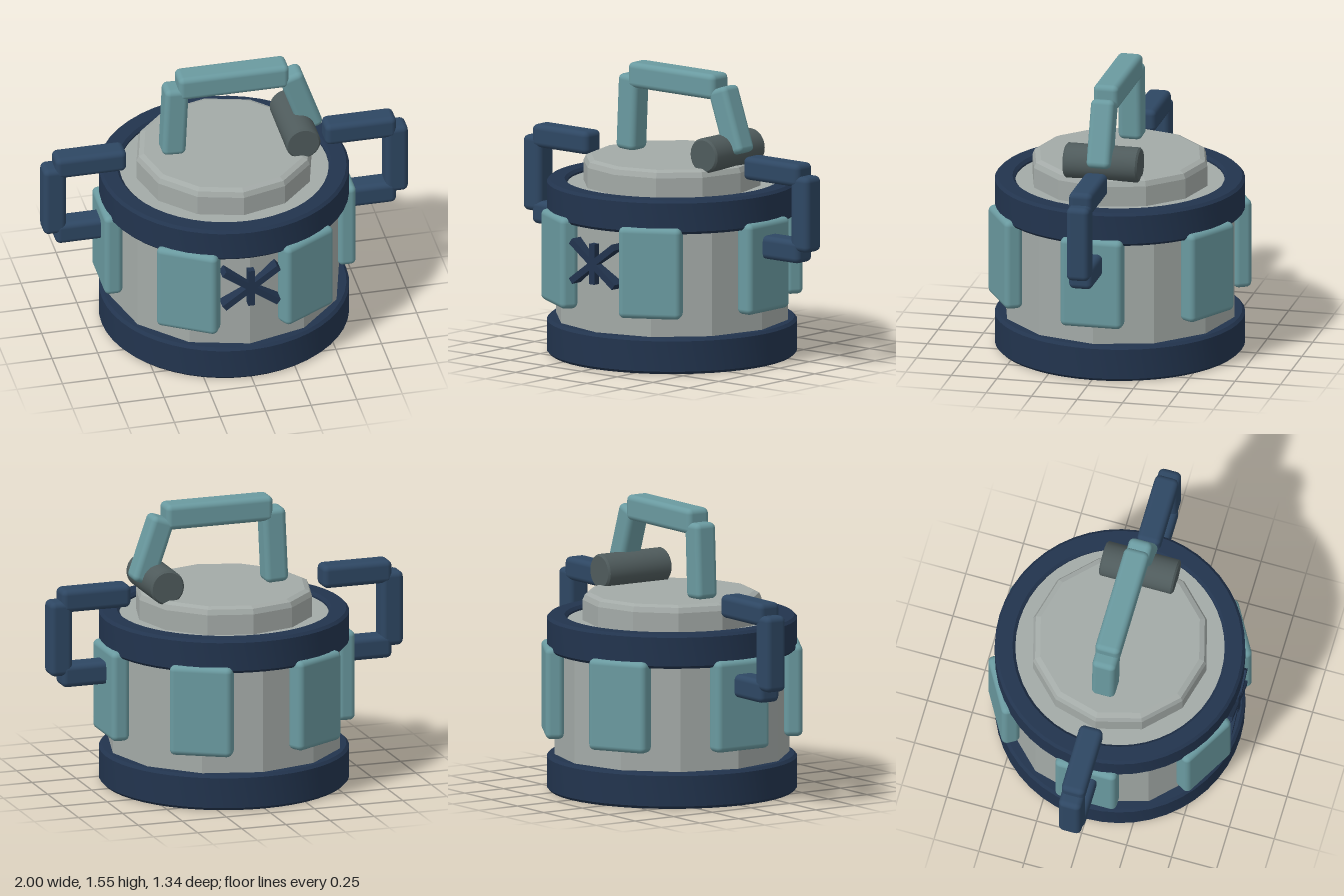
import * as THREE from 'three';
import { toCreasedNormals } from 'three/addons/utils/BufferGeometryUtils.js';
import { RoundedBoxGeometry } from 'three/addons/geometries/RoundedBoxGeometry.js';

const paint = (color, flatShading = false) => new THREE.MeshStandardMaterial({ color, flatShading });

export function createModel() {
  const model = new THREE.Group();
  const steel = paint(0xa3aaa7, true);
  const navy = paint(0x22344e);
  const blue = paint(0x2e4763);
  const teal = paint(0x6a9aa0);
  const dark = paint(0x4f5b5c);

  const add = (name, geometry, material, parent = model) => {
    const mesh = new THREE.Mesh(geometry, material);
    mesh.name = name;
    parent.add(mesh);
    return mesh;
  };
  const lathe = (points, sides) =>
    new THREE.LatheGeometry(points.map(([r, y]) => new THREE.Vector2(r, y)), sides);
  // Rounded bar centred on (x, y, z), tilted about z
  const bar = (name, material, [w, h, d], [x, y, z], tilt = 0, radius = 0.03, parent = model) => {
    const mesh = add(name, new RoundedBoxGeometry(w, h, d, 3, radius), material, parent);
    mesh.position.set(x, y, z);
    mesh.rotation.z = tilt;
    return mesh;
  };

  // Twelve-sided pot and lid
  add('body', lathe([[0, 0.08], [0.63, 0.08], [0.63, 0.92], [0, 0.92]], 12), steel);
  add('lid', lathe([[0, 0.9], [0.48, 0.9], [0.48, 1.03], [0.468, 1.058], [0.44, 1.07], [0, 1.07]], 12), steel);

  // Smooth chamfered rings at foot and rim
  const ring = (name, y0, y1) => {
    const c = 0.015, ri = 0.56, ro = 0.67;
    const profile = [
      [ri + c, y0], [ro - c, y0], [ro, y0 + c], [ro, y1 - c], [ro - c, y1],
      [ri + c, y1], [ri, y1 - c], [ri, y0 + c], [ri + c, y0],
    ];
    add(name, toCreasedNormals(lathe(profile, 48), 0.5), navy);
  };
  ring('footRing', 0, 0.195);
  ring('rimRing', 0.76, 0.945);

  // Six panels around the body
  for (let i = 0; i < 6; i++) {
    const angle = Math.PI / 6 + (i * Math.PI) / 3;
    const panel = bar('sidePanel', teal, [0.34, 0.495, 0.1],
      [0.64 * Math.sin(angle), 0.5475, 0.64 * Math.cos(angle)]);
    panel.rotation.y = angle;
  }

  // Crossed bars on the front
  const emblem = new THREE.Group();
  emblem.name = 'frontCross';
  emblem.position.set(0, 0.57, 0.615);
  model.add(emblem);
  for (const [length, tilt] of [[0.22, Math.PI / 2], [0.37, 0.63], [0.37, -0.63]]) {
    const stroke = add('crossBar', new THREE.BoxGeometry(length, 0.036, 0.1), navy, emblem);
    stroke.rotation.z = tilt;
  }

  // Mirrored side handles
  for (const side of [1, -1]) {
    const handle = new THREE.Group();
    handle.name = side > 0 ? 'leftHandle' : 'rightHandle';
    model.add(handle);
    bar('handleTop', blue, [0.39, 0.125, 0.13], [side * 0.74, 1.0725, 0], 0, 0.03, handle);
    bar('handleGrip', blue, [0.125, 0.41, 0.125], [side * 0.9375, 0.865, 0], 0, 0.03, handle);
    bar('handleBottom', blue, [0.39, 0.125, 0.13], [side * 0.74, 0.6575, 0], 0, 0.03, handle);
  }

  // Lid handle
  bar('lidHandleTop', teal, [0.605, 0.138, 0.138], [0.0425, 1.485, 0]);
  bar('lidHandleLeg', teal, [0.13, 0.41, 0.13], [-0.276, 1.277, 0], -0.045);
  bar('lidHandleLeg', teal, [0.13, 0.37, 0.13], [0.415, 1.307, 0], 0.335);

  // Cross pin under the slanted leg
  const pinProfile = [[0, -0.205], [0.085, -0.205], [0.095, -0.195], [0.095, 0.195], [0.085, 0.205], [0, 0.205]];
  const pin = add('lidPin', toCreasedNormals(lathe(pinProfile, 24), 0.5), dark);
  pin.rotation.x = Math.PI / 2;
  pin.position.set(0.39, 1.14, 0);

  return model;
}
